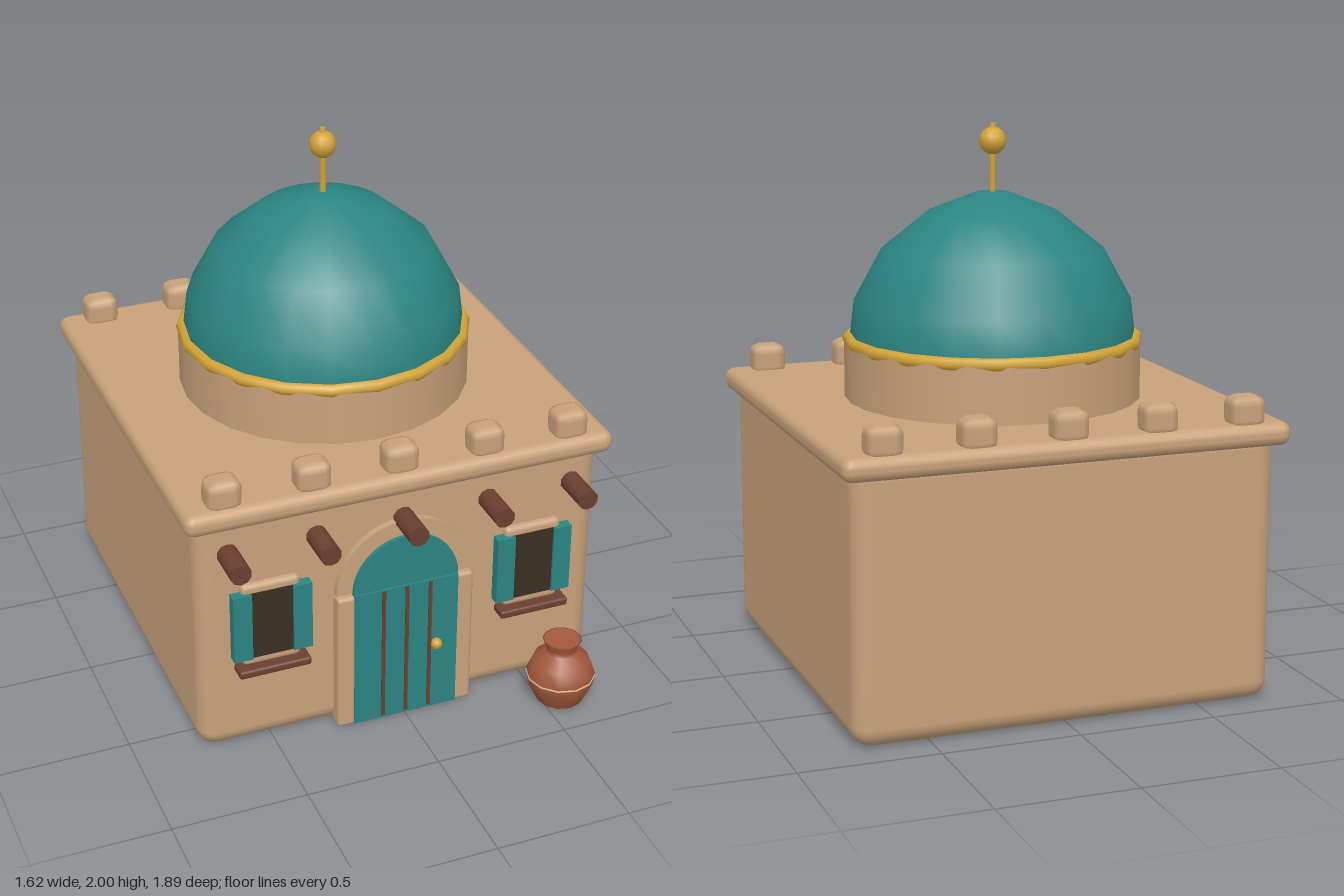
import * as THREE from 'three';
import { RoundedBoxGeometry } from 'three/addons/geometries/RoundedBoxGeometry.js';

const paint = (name, color) => {
  const m = new THREE.MeshStandardMaterial({ color });
  m.name = name;
  return m;
};

export function createModel() {
  const plaster = paint('sand plaster', 0xc8a27a);
  const teal = paint('teal', 0x2a8582);
  const gold = paint('gold', 0xd2a336);
  const wood = paint('dark wood', 0x6b4030);
  const dark = paint('window dark', 0x3a2e22);
  const clay = paint('terracotta', 0xa4593b);
  const cream = paint('cream', 0xdcb78c);

  const model = new THREE.Group();
  model.name = 'domedHouse';
  const add = (name, geometry, material, x = 0, y = 0, z = 0, parent = model) => {
    const mesh = new THREE.Mesh(geometry, material);
    mesh.name = name;
    mesh.position.set(x, y, z);
    parent.add(mesh);
    return mesh;
  };
  const box = (w, h, d) => new THREE.BoxGeometry(w, h, d);
  const rounded = (w, h, d, r, s = 2) => new RoundedBoxGeometry(w, h, d, s, r);
  const lathe = (points, sides) =>
    new THREE.LatheGeometry(points.map(([x, y]) => new THREE.Vector2(x, y)), sides);

  const mid = -0.13; // z centre of the building
  const front = 0.645; // z of the front wall

  // Walls and roof slab
  add('walls', rounded(1.54, 0.99, 1.55, 0.07, 3), plaster, 0, 0.495, mid);
  add('roofSlab', rounded(1.62, 0.085, 1.625, 0.038), plaster, 0, 0.972, mid);

  // Roof blocks along front and back, beam ends under the front row
  for (const x of [-0.655, -0.328, 0, 0.328, 0.655]) {
    for (const z of [0.6, -0.865]) {
      add('roofBlock', rounded(0.13, 0.12, 0.112, 0.035, 1), plaster, x, 1.05, z);
    }
    add('beamEnd', new THREE.CylinderGeometry(0.039, 0.039, 0.25, 10), wood, x, 0.828, 0.665)
      .rotation.x = Math.PI / 2;
  }

  // Drum, gold ring and dome
  add('drum', new THREE.CylinderGeometry(0.54, 0.54, 0.21, 24), plaster, 0, 1.115, mid);
  add('domeRing', new THREE.TorusGeometry(0.522, 0.024, 8, 20), gold, 0, 1.222, mid)
    .rotation.x = Math.PI / 2;
  add('dome', lathe([
    [0.52, 1.215], [0.517, 1.25], [0.503, 1.365], [0.403, 1.55],
    [0.238, 1.683], [0.06, 1.753], [0, 1.756],
  ], 20), teal, 0, 0, mid);

  // Finial
  add('finialPole', new THREE.CylinderGeometry(0.012, 0.012, 0.2, 8), gold, 0, 1.84, mid);
  add('finialBall', new THREE.SphereGeometry(0.05, 12, 8), gold, 0, 1.937, mid);
  add('finialTip', new THREE.CylinderGeometry(0.01, 0.015, 0.03, 8), gold, 0, 1.985, mid);

  // Door surround: two posts and a half ring
  const door = new THREE.Group();
  door.name = 'door';
  model.add(door);
  for (const s of [-1, 1]) {
    add('doorPost', rounded(0.07, 0.56, 0.07, 0.015), plaster, s * 0.228, 0.28, front + 0.01, door);
  }
  const arch = new THREE.Shape();
  arch.absarc(0, 0, 0.262, 0, Math.PI, false);
  arch.absarc(0, 0, 0.195, Math.PI, 0, true);
  add('doorArch', new THREE.ExtrudeGeometry(arch, { depth: 0.05, bevelEnabled: false, curveSegments: 14 }),
    plaster, 0, 0.565, front - 0.025, door);

  // Door leaf with an arched top, plank strips and knob
  add('doorLeaf', box(0.4, 0.56, 0.06), teal, 0, 0.285, front + 0.018, door);
  const half = new THREE.Shape();
  half.absarc(0, 0, 0.202, 0, Math.PI, false);
  add('doorTop', new THREE.ExtrudeGeometry(half, { depth: 0.06, bevelEnabled: false, curveSegments: 10 }),
    teal, 0, 0.565, front - 0.02, door);
  for (const x of [-0.09, 0, 0.09]) {
    add('doorStrip', box(0.013, 0.545, 0.008), wood, x, 0.29, 0.695, door);
  }
  add('doorKnob', new THREE.SphereGeometry(0.022, 10, 8), gold, 0.115, 0.288, 0.703, door);

  // Shuttered windows
  for (const s of [-1, 1]) {
    const win = new THREE.Group();
    win.name = s > 0 ? 'leftWindow' : 'rightWindow';
    win.position.x = s * 0.505;
    model.add(win);
    add('windowFrame', rounded(0.22, 0.34, 0.05, 0.02), plaster, 0, 0.522, front, win);
    add('windowPane', box(0.16, 0.27, 0.008), dark, 0, 0.525, front + 0.027, win);
    for (const k of [-1, 1]) {
      add('shutter', box(0.07, 0.27, 0.04), teal, k * 0.112, 0.525, front + 0.02, win);
    }
    add('windowSill', rounded(0.27, 0.032, 0.09, 0.01), wood, 0, 0.345, front + 0.02, win);
  }

  // Clay pot with a painted band
  const pot = new THREE.Group();
  pot.name = 'pot';
  pot.position.set(0.57, 0, 0.815);
  model.add(pot);
  add('potBody', lathe([
    [0, 0], [0.075, 0], [0.088, 0.01], [0.122, 0.08], [0.127, 0.125], [0.105, 0.18],
    [0.06, 0.215], [0.055, 0.23], [0.072, 0.265], [0.066, 0.266], [0, 0.26],
  ], 12), clay, 0, 0, 0, pot);
  add('potBand', new THREE.TorusGeometry(0.126, 0.004, 6, 12), cream, 0, 0.115, 0, pot)
    .rotation.x = Math.PI / 2;

  return model;
}
